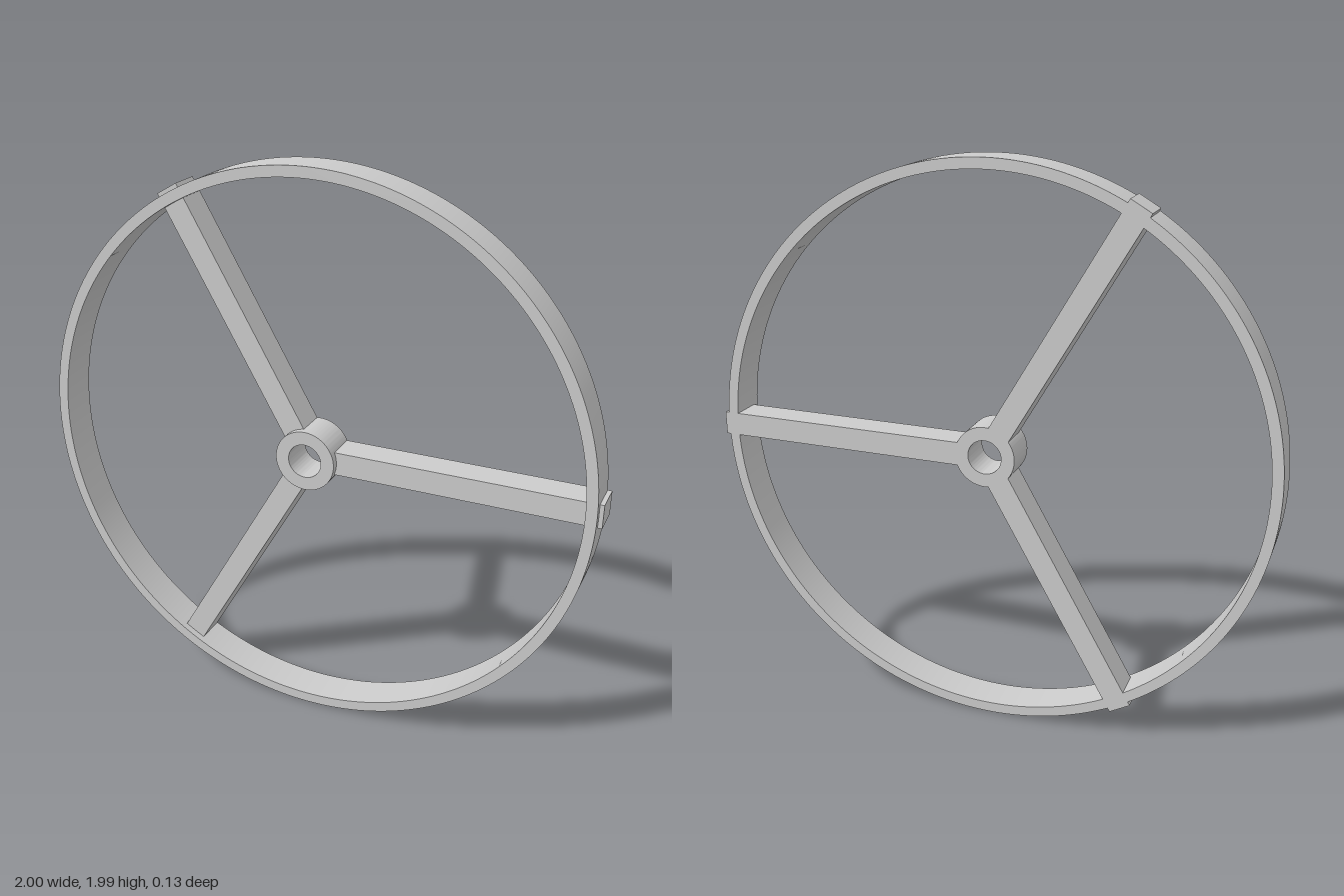
import * as THREE from 'three';
import { toCreasedNormals } from 'three/addons/utils/BufferGeometryUtils.js';

const DEPTH = 0.134;

// Flat-faced circular band, centred on z = 0, smooth around its walls
function band(outer, inner, segments) {
  const shape = new THREE.Shape().absarc(0, 0, outer, 0, Math.PI * 2, false);
  shape.holes.push(new THREE.Path().absarc(0, 0, inner, 0, Math.PI * 2, true));
  const geometry = new THREE.ExtrudeGeometry(shape, {
    depth: DEPTH, bevelEnabled: false, curveSegments: segments,
  });
  geometry.translate(0, 0, -DEPTH / 2);
  return toCreasedNormals(geometry, Math.PI / 6);
}

export function createModel() {
  const model = new THREE.Group();
  model.name = 'wheel';
  const material = new THREE.MeshStandardMaterial({ color: 0xcccccc });
  const add = (name, geometry) => {
    const mesh = new THREE.Mesh(geometry, material);
    mesh.name = name;
    mesh.position.set(-0.007, 0.993, 0);
    model.add(mesh);
    return mesh;
  };

  add('rim', band(0.993, 0.956, 128));
  add('hub', band(0.107, 0.06, 64));

  // Three spokes, flush with the back and ending just outside the rim
  const start = 0.088, end = 1.007, back = -DEPTH / 2, front = 0.042;
  for (let i = 0; i < 3; i++) {
    const spoke = new THREE.BoxGeometry(end - start, 0.082, front - back);
    spoke.translate((start + end) / 2, 0, (front + back) / 2);
    add('spoke' + (i + 1), spoke).rotation.z = (i * Math.PI * 2) / 3;
  }
  return model;
}
